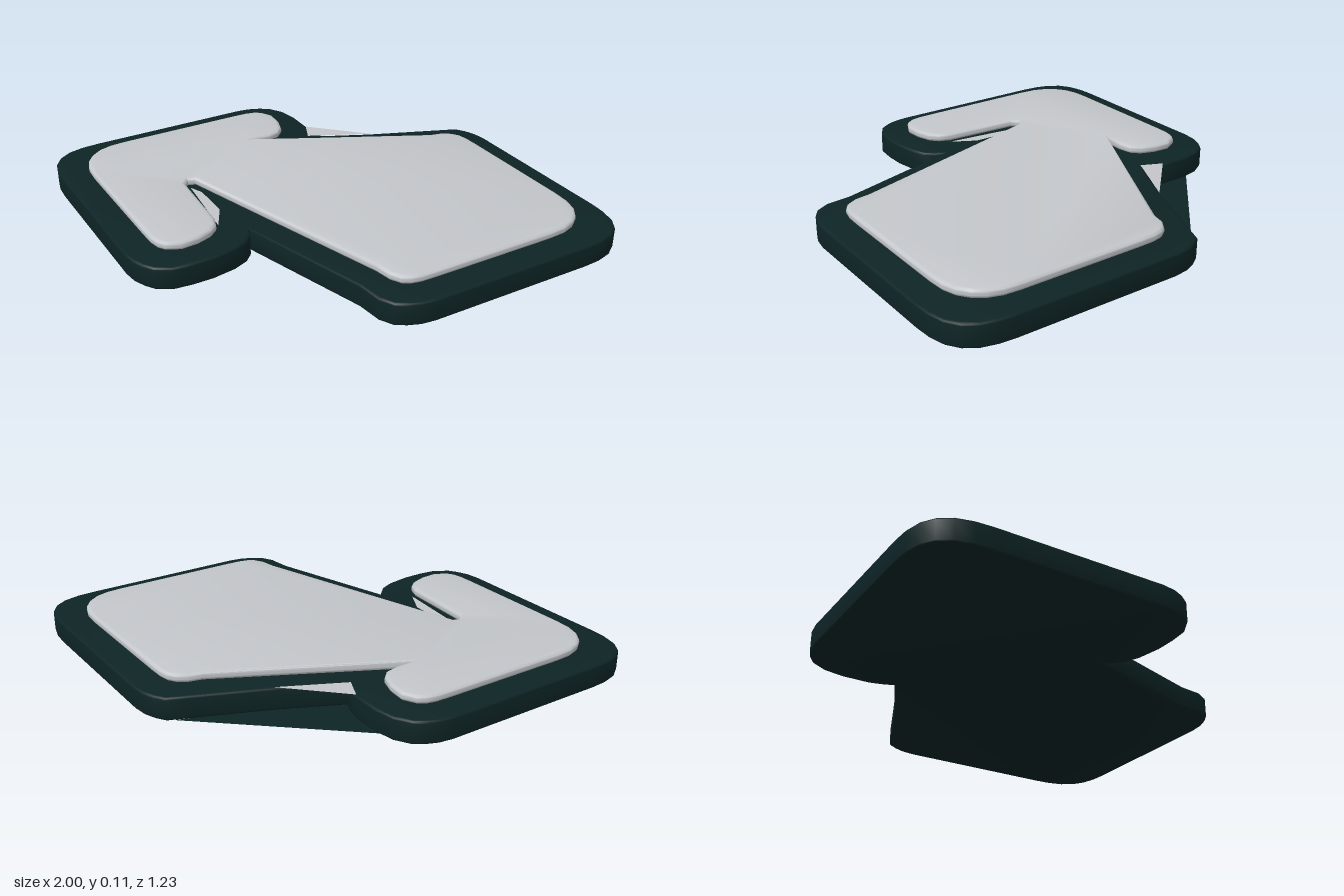
import * as THREE from 'three';
import { toCreasedNormals } from 'three/addons/utils/BufferGeometryUtils.js';

// Points are [x, z] on the ground plane; shapes are laid flat afterwards.
const toShape = pts => new THREE.Shape(pts.map(([x, z]) => new THREE.Vector2(x, -z)));

function slab(pts, bottom, top, bevel) {
  const g = new THREE.ExtrudeGeometry(toShape(pts), {
    depth: top - bottom - 2 * bevel, bevelEnabled: true, bevelThickness: bevel,
    bevelSize: bevel, bevelOffset: -bevel, bevelSegments: 3,
  });
  g.rotateX(-Math.PI / 2).translate(0, bottom + bevel, 0);
  return toCreasedNormals(g, 0.7);
}

function flat(pts, y) {
  return new THREE.ShapeGeometry(toShape(pts)).rotateX(-Math.PI / 2).translate(0, y, 0);
}

export function createModel() {
  const group = new THREE.Group();
  const dark = new THREE.MeshStandardMaterial({ color: 0x0e2425 });
  dark.name = 'darkGreen';
  const light = new THREE.MeshStandardMaterial({ color: 0xc3c6ca });
  light.name = 'lightGrey';
  const add = (name, geometry, material) => {
    const m = new THREE.Mesh(geometry, material);
    m.name = name;
    group.add(m);
  };

  // Rounded diamond ends, from the back corner round the tip to the front corner
  const end = (half, side) => {
    const back = half.map(([x, z]) => [x * side, -z]);
    const front = half.slice(0, -1).reverse().map(([x, z]) => [x * side, z]);
    return [...back, ...front];
  };
  const baseEnd = [[0.38, 0.615], [0.42, 0.607], [0.46, 0.59], [0.5, 0.56], [0.92, 0.145],
    [0.96, 0.1], [0.99, 0.05], [1, 0]];
  const plateEnd = [[0.38, 0.512], [0.41, 0.506], [0.44, 0.487], [0.48, 0.45], [0.8, 0.135],
    [0.84, 0.09], [0.863, 0.045], [0.87, 0]];

  // Dark base: body, front notch, arrow head, back notch
  add('base', slab([
    ...end(baseEnd, 1),
    [0.33, 0.6], [0.26, 0.545], [-0.165, 0.315],
    [-0.15, 0.35], [-0.15, 0.39], [-0.17, 0.44], [-0.22, 0.51], [-0.27, 0.56], [-0.32, 0.6],
    ...end(baseEnd, -1).reverse(),
    [-0.32, -0.6], [-0.26, -0.56], [-0.19, -0.49], [-0.16, -0.44], [-0.15, -0.41],
    [0.06, -0.483], [0.32, -0.59],
  ], 0, 0.08, 0.008), dark);

  // Floor of the back notch
  add('notchFloor', flat([[-0.3, -0.567], [0.36, -0.606], [0.06, -0.47], [-0.18, -0.39]], 0.002), dark);

  // Raised light plate
  add('plate', slab([
    ...end(plateEnd, 1),
    [0.34, 0.5], [0.29, 0.465], [-0.44, 0.08], [-0.462, 0.09], [-0.46, 0.12],
    [-0.28, 0.32], [-0.262, 0.36], [-0.265, 0.4], [-0.29, 0.45], [-0.33, 0.495],
    ...end(plateEnd, -1).reverse(),
    [-0.33, -0.497], [-0.29, -0.45], [-0.265, -0.4], [-0.265, -0.36], [-0.29, -0.32],
    [-0.35, -0.268], [0.3, -0.48], [0.34, -0.505],
  ], 0.08, 0.11, 0.012), light);

  // Thin light webs in the two notches
  add('backWeb', flat([[-0.19, -0.483], [0.07, -0.483], [-0.16, -0.405]], 0.0815), light);
  add('frontWeb', flat([[-0.45, 0.1], [-0.4, 0.12], [-0.3, 0.22], [-0.27, 0.32]], 0.0815), light);

  return group;
}
